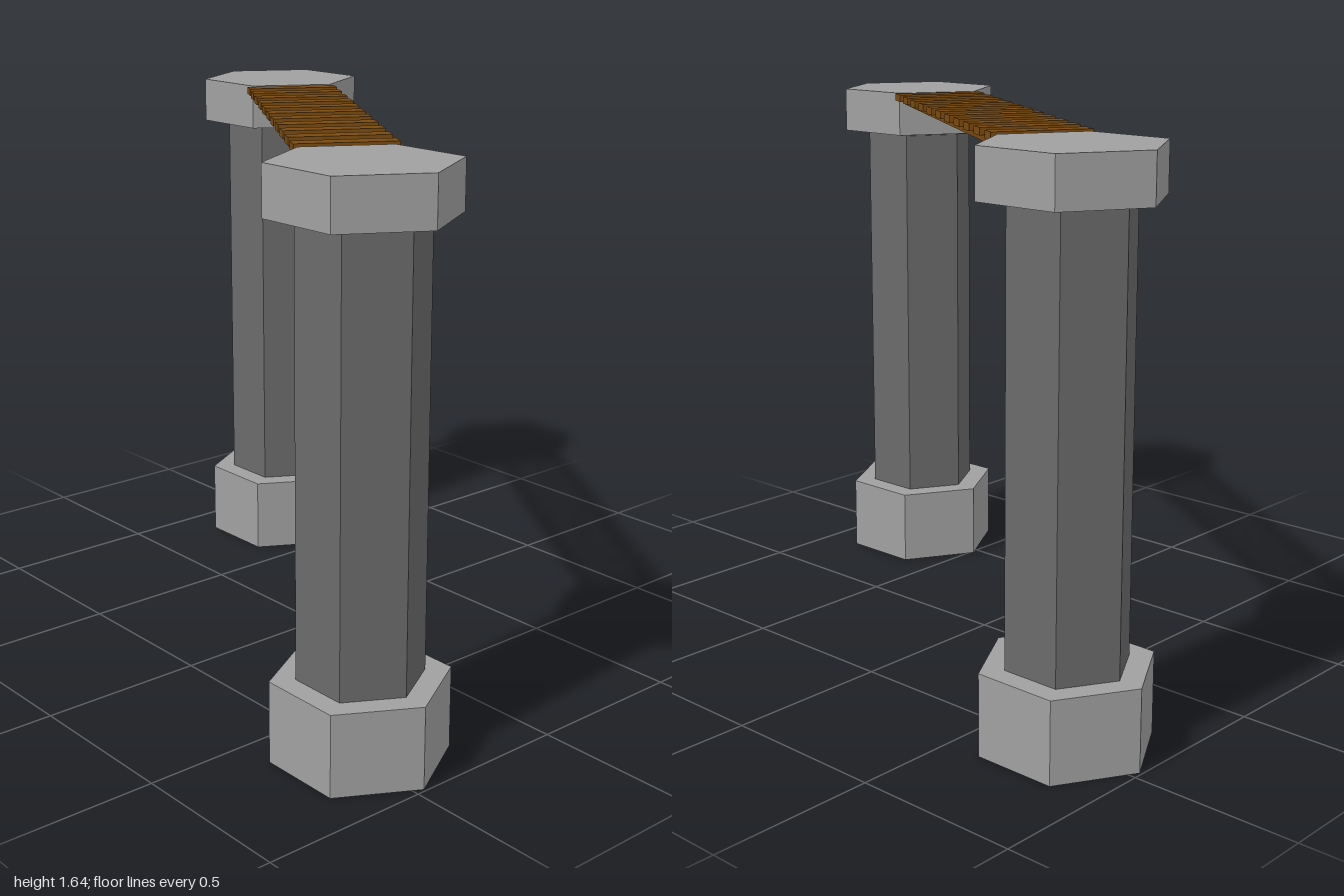
import * as THREE from 'three';

const material = (color) => new THREE.MeshStandardMaterial({ color, flatShading: true });

export function createModel() {
  const model = new THREE.Group();
  const stone = material(0xa0a0a0);
  const darkStone = material(0x6a6a6a);
  const wood = material(0x7a4a10);

  function add(parent, name, geometry, mat) {
    const mesh = new THREE.Mesh(geometry, mat);
    mesh.name = name;
    parent.add(mesh);
    return mesh;
  }

  // Six-sided prism between two heights, corners pointing along z
  function hexagon(parent, name, topRadius, bottomRadius, y0, y1, mat, open = false) {
    const geometry = new THREE.CylinderGeometry(topRadius, bottomRadius, y1 - y0, 6, 1, open);
    add(parent, name, geometry, mat).position.y = (y0 + y1) / 2;
  }

  // Two hexagonal pillars on opposite corners
  for (const side of [-1, 1]) {
    const pillar = new THREE.Group();
    pillar.name = side < 0 ? 'frontPillar' : 'backPillar';
    pillar.position.set(side * 0.472, 0, side * -0.741);
    hexagon(pillar, 'base', 0.252, 0.252, 0, 0.24, stone);
    hexagon(pillar, 'column', 0.179, 0.179, 0.24, 1.5, darkStone);
    hexagon(pillar, 'capUnderside', 0.26, 0.179, 1.49, 1.5, stone, true);
    hexagon(pillar, 'cap', 0.26, 0.26, 1.5, 1.64, stone);
    model.add(pillar);
  }

  const bridge = new THREE.Group();
  bridge.name = 'bridge';
  model.add(bridge);

  // Rails joining the facing corners of the caps
  for (const side of [-1, 1]) {
    const start = new THREE.Vector3(-0.365 + side * 0.1, 1.614, 0.54 + side * 0.055);
    const end = new THREE.Vector3(0.365 + side * 0.1, 1.614, -0.54 + side * 0.055);
    const geometry = new THREE.BoxGeometry(0.018, 0.018, start.distanceTo(end));
    const rail = add(bridge, side < 0 ? 'rightRail' : 'leftRail', geometry, wood);
    rail.position.copy(start).lerp(end, 0.5);
    rail.lookAt(end);
  }

  // Planks laid parallel to the facing sides of the caps
  const plankGeometry = new THREE.BoxGeometry(0.288, 0.022, 0.056);
  const count = 11;
  for (let i = 0; i < count; i++) {
    const t = (i / (count - 1)) * 2 - 1;
    const plank = add(bridge, 'plank', plankGeometry, wood);
    plank.position.set(t * 0.319, 1.631, t * -0.493);
    plank.rotation.y = -Math.PI / 6;
  }

  return model;
}
